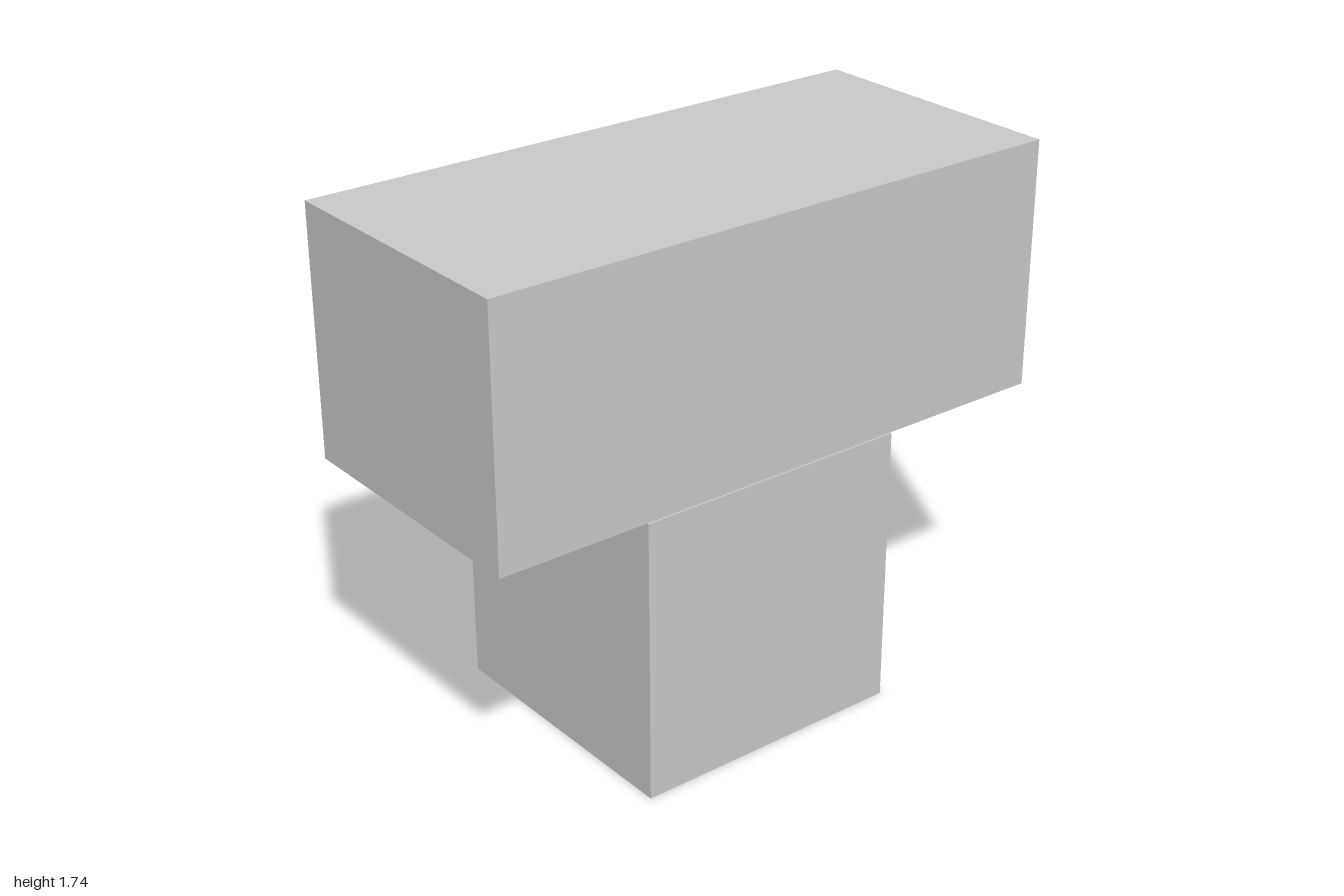
import * as THREE from 'three';

const material = new THREE.MeshStandardMaterial({ color: 0xcccccc, flatShading: true });

// Box given by its size, its bottom height and its centre in z
function block(name, width, height, depth, bottom, z) {
  const mesh = new THREE.Mesh(new THREE.BoxGeometry(width, height, depth), material);
  mesh.name = name;
  mesh.position.set(0, bottom + height / 2, z);
  return mesh;
}

export function createModel() {
  const model = new THREE.Group();
  model.name = 'hammerBlock';

  const postHeight = 0.93;
  // Cubic post, set slightly towards the front
  model.add(block('post', 0.926, postHeight, 0.93, 0, 0.035));
  // Long beam resting on the post, a little narrower than it
  model.add(block('beam', 0.914, 0.81, 2, postHeight, 0));

  return model;
}
